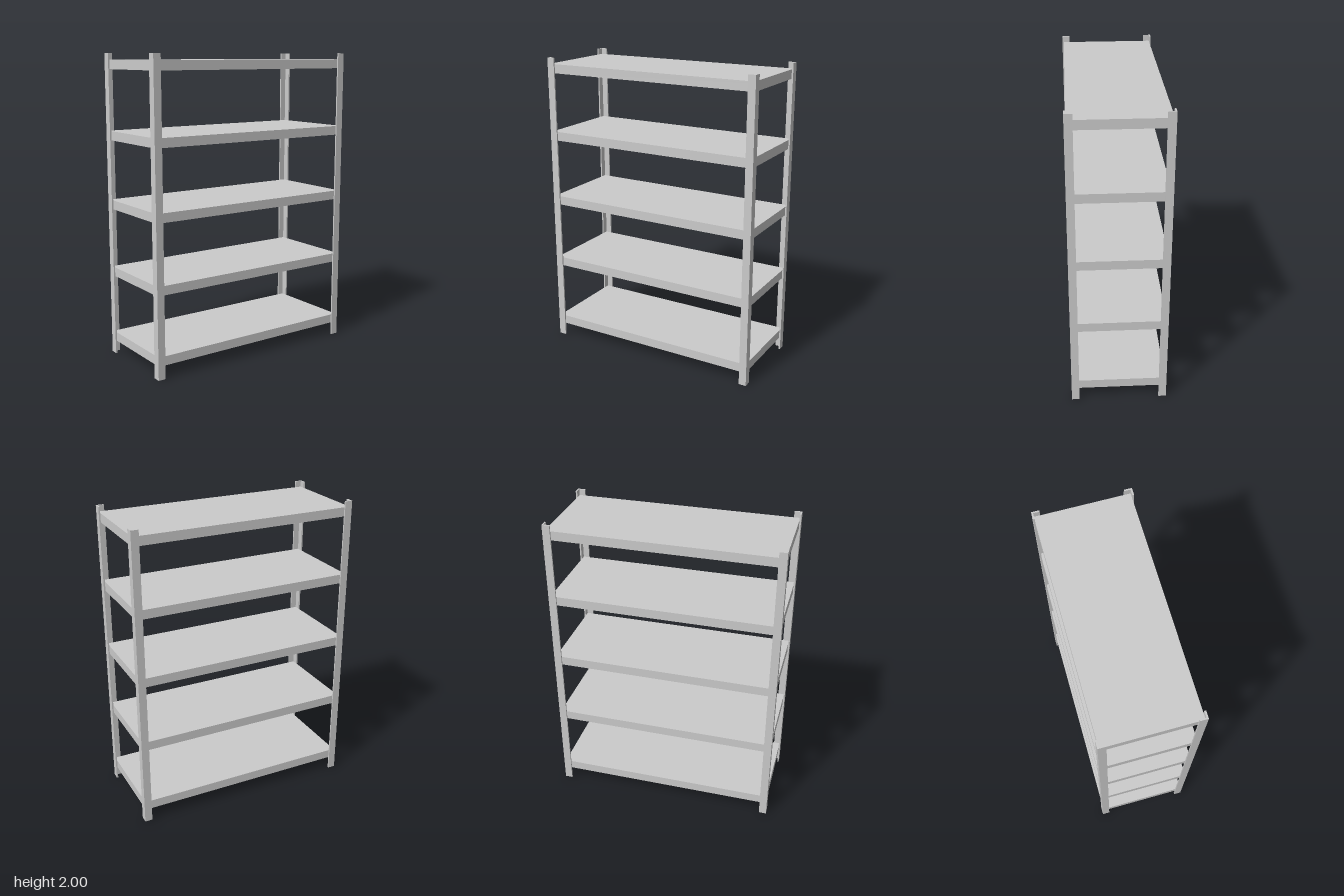
import * as THREE from 'three';

const material = new THREE.MeshStandardMaterial({ color: 0xcccccc, flatShading: true });

const HEIGHT = 2, HALF_X = 0.31, HALF_Z = 0.747; // outer corners of the posts
const LEG = 0.05, T = 0.01;                      // angle-iron leg width and sheet thickness
const SHELF_X = HALF_X - T, SHELF_Z = HALF_Z - T;
const LIP = 0.06;                                // depth of the folded shelf edge

function box(name, w, h, d, x, y, z) {
  const mesh = new THREE.Mesh(new THREE.BoxGeometry(w, h, d), material);
  mesh.name = name;
  mesh.position.set(x, y, z);
  return mesh;
}

// L-section upright, its corner pointing outwards
function cornerPost(name, sx, sz) {
  const section = [[0, 0], [LEG, 0], [LEG, T], [T, T], [T, LEG], [0, LEG]];
  const shape = new THREE.Shape(section.map(([a, b]) =>
    new THREE.Vector2(sx * (HALF_X - a), -sz * (HALF_Z - b))));
  const geometry = new THREE.ExtrudeGeometry(shape, { depth: HEIGHT, bevelEnabled: false });
  geometry.rotateX(-Math.PI / 2);
  const mesh = new THREE.Mesh(geometry, material);
  mesh.name = name;
  return mesh;
}

// Thin tray, open underneath, with a lip folded down on all four sides
function shelf(name, top) {
  const group = new THREE.Group();
  group.name = name;
  group.position.y = top;
  group.add(box('shelfPanel', 2 * SHELF_X, T, 2 * SHELF_Z, 0, -T / 2, 0));
  const h = LIP - T, y = -(T + LIP) / 2;
  for (const s of [-1, 1]) {
    group.add(box(s > 0 ? 'leftLip' : 'rightLip', T, h, 2 * SHELF_Z, s * (SHELF_X - T / 2), y, 0));
    group.add(box(s > 0 ? 'frontLip' : 'backLip', 2 * (SHELF_X - T), h, T, 0, y, s * (SHELF_Z - T / 2)));
  }
  return group;
}

export function createModel() {
  const model = new THREE.Group();
  model.name = 'shelvingUnit';

  // Four corner posts
  for (const sx of [-1, 1]) for (const sz of [-1, 1]) {
    model.add(cornerPost((sz > 0 ? 'front' : 'back') + (sx > 0 ? 'Left' : 'Right') + 'Post', sx, sz));
  }

  // Five evenly spaced shelves
  for (let i = 0; i < 5; i++) model.add(shelf('shelf' + (i + 1), 0.146 + i * 0.4535));

  return model;
}
